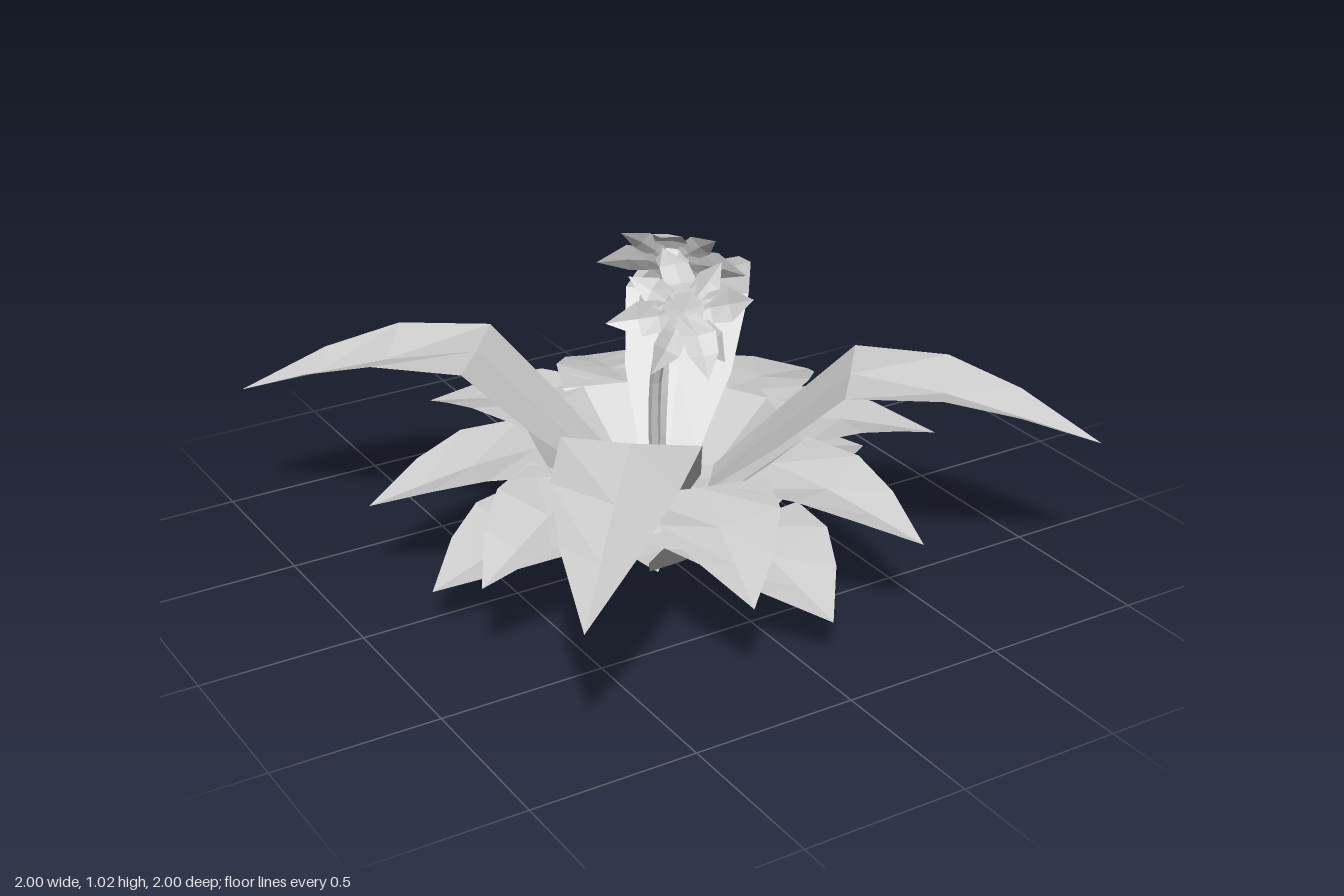
import * as THREE from 'three';

const material = new THREE.MeshStandardMaterial({ color: 0xcccccc, flatShading: true, side: THREE.DoubleSide });

// Thin blade running along +x: each station is [distance, ribHeight, halfWidth, edgeHeight]
function blade(stations, tip) {
  const pos = [], index = [];
  for (const [r, y, w, e] of stations) pos.push(r, e, -w, r, y, 0, r, e, w);
  for (let i = 0; i < stations.length - 1; i++) {
    for (let j = 0; j < 2; j++) {
      const a = i * 3 + j, b = a + 1, c = a + 3, d = a + 4;
      index.push(a, b, c, b, d, c);
    }
  }
  const last = (stations.length - 1) * 3, t = pos.length / 3;
  pos.push(...tip);
  index.push(last, last + 1, t, last + 1, last + 2, t);
  const g = new THREE.BufferGeometry();
  g.setAttribute('position', new THREE.Float32BufferAttribute(pos, 3));
  g.setIndex(index);
  g.computeVertexNormals();
  return g;
}

// Arching leaf: broad stalk, sharp bend, then a gutter-shaped drooping blade
const leafGeometry = blade([
  [0.0, 0.0, 0.015, 0.0],
  [0.15, 0.005, 0.09, 0.012],
  [0.36, 0.195, 0.168, 0.2],
  [0.56, 0.38, 0.197, 0.387],
  [0.84, 0.335, 0.172, 0.385],
  [1.06, 0.275, 0.108, 0.318],
], [1.3, 0.205, 0]);

// Flower parts: pointed star petal, drooping front lip, swept-back hood
const petalGeometry = blade([
  [0.03, 0.0, 0.02, 0.0],
  [0.08, 0.005, 0.045, 0.012],
  [0.14, 0.0, 0.05, 0.01],
], [0.23, -0.025, 0]);
const lipGeometry = blade([
  [0.02, -0.01, 0.03, 0.0],
  [0.1, -0.035, 0.055, -0.028],
  [0.145, -0.08, 0.045, -0.075],
], [0.18, -0.14, 0]);
const hoodGeometry = blade([
  [0.0, 0.03, 0.03, 0.03],
  [0.02, 0.08, 0.05, 0.075],
  [0.07, 0.12, 0.045, 0.115],
], [0.155, 0.14, 0]);
const heartGeometry = new THREE.LatheGeometry(
  [[0.015, -0.06], [0.045, -0.015], [0.06, 0.015], [0, 0.01]].map(p => new THREE.Vector2(...p)), 7);

function addMesh(parent, name, geometry, turn = 0, scale = 1) {
  const mesh = new THREE.Mesh(geometry, material);
  mesh.name = name;
  mesh.rotation.y = turn;
  mesh.scale.setScalar(scale);
  parent.add(mesh);
  return mesh;
}

// Ring of leaves; angles in degrees from +x towards +z
function leafRing(name, angles, length, width, y) {
  const ring = new THREE.Group();
  ring.name = name;
  for (const angle of angles) {
    const leaf = addMesh(ring, 'leaf', leafGeometry, -THREE.MathUtils.degToRad(angle));
    leaf.scale.set(length, length, width);
    leaf.position.y = y;
  }
  return ring;
}

// Curved stem carrying a bloom that faces +z turned by yaw
function flower(name, points, yaw) {
  const group = new THREE.Group();
  group.name = name;
  const path = new THREE.CatmullRomCurve3(points.map(p => new THREE.Vector3(...p)));
  addMesh(group, 'stem', new THREE.TubeGeometry(path, 12, 0.018, 6));

  const head = new THREE.Group();
  head.name = 'flowerHead';
  head.position.set(...points[points.length - 1]);
  head.rotation.y = yaw;
  const star = new THREE.Group();
  star.name = 'star';
  star.rotation.x = THREE.MathUtils.degToRad(70);
  for (const [angle, size] of [[0, 1], [40, 0.82], [140, 0.82], [180, 1], [235, 0.87], [305, 0.87]]) {
    addMesh(star, 'petal', petalGeometry, THREE.MathUtils.degToRad(angle), size);
  }
  addMesh(star, 'heart', heartGeometry);
  head.add(star);
  addMesh(head, 'lip', lipGeometry, -Math.PI / 2);
  addMesh(head, 'hood', hoodGeometry, Math.PI / 2);
  group.add(head);
  return group;
}

export function createModel() {
  const model = new THREE.Group();
  model.name = 'floweringPlant';

  // Three tiers of leaves, each with quarter-turn symmetry
  const around = (...offsets) => [0, 90, 180, 270].flatMap(q => offsets.map(o => q + o));
  model.add(leafRing('lowerLeaves', around(-5), 0.625, 1.25, 0));
  model.add(leafRing('middleLeaves', around(-25.3, 15), 0.685, 1.05, 0.145));
  model.add(leafRing('upperLeaves', around(39.8), 1, 1, 0.255));

  // Two blooms leaning away from each other
  model.add(flower('frontFlower',
    [[-0.01, 0.15, 0], [-0.035, 0.42, 0.02], [-0.045, 0.64, 0.05], [-0.05, 0.78, 0.12], [-0.05, 0.88, 0.205]],
    -0.15));
  model.add(flower('backFlower',
    [[0, 0.15, 0], [-0.01, 0.42, 0.015], [0.015, 0.62, -0.01], [0.055, 0.77, -0.07], [0.12, 0.88, -0.13]],
    2.35));

  return model;
}
